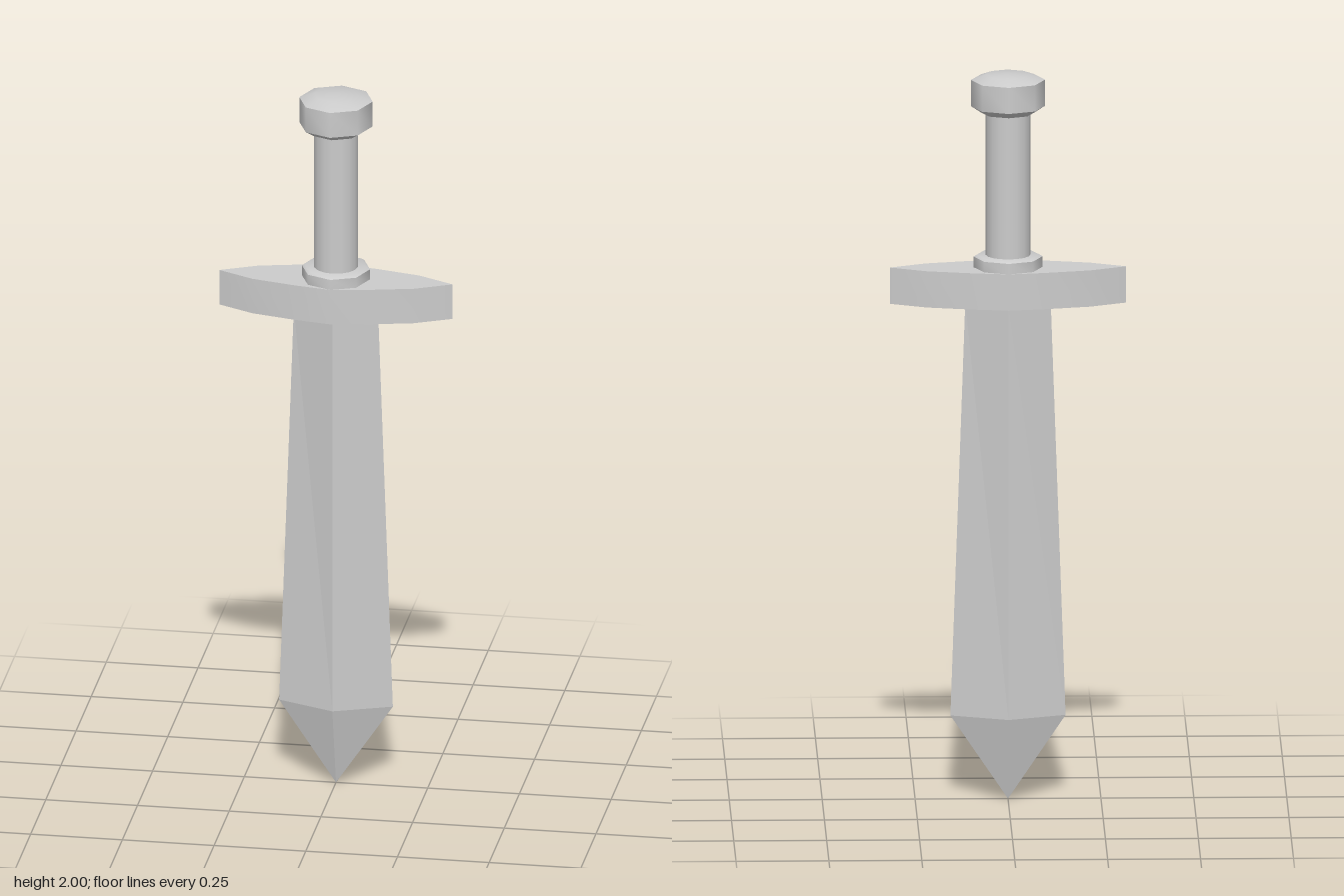
import * as THREE from 'three';
import { toCreasedNormals } from 'three/addons/utils/BufferGeometryUtils.js';

const smooth = new THREE.MeshStandardMaterial({ color: 0xcccccc });
const faceted = new THREE.MeshStandardMaterial({ color: 0xcccccc, flatShading: true });

// Turned part from [radius, height] pairs, listed bottom to top
function turned(points, sides) {
  return new THREE.LatheGeometry(points.map(([r, y]) => new THREE.Vector2(r, y)), sides);
}

export function createModel() {
  const sword = new THREE.Group();
  sword.name = 'sword';
  const add = (name, geometry, material = smooth) => {
    const mesh = new THREE.Mesh(geometry, material);
    mesh.name = name;
    sword.add(mesh);
  };

  // Blade: diamond section, widening towards the point, with constant thickness
  const blade = turned([[0, 0], [0.155, 0.23], [0.115, 1.37], [0, 1.37]], 4);
  const pos = blade.attributes.position;
  for (let i = 0; i < pos.count; i++) {
    const z = pos.getZ(i);
    if (Math.abs(z) > 0.01) pos.setZ(i, Math.sign(z) * 0.06);
  }
  add('blade', blade, faceted);

  // Crossguard: pointed lens outline, mirrored into all four quarters
  const quarter = [[0.318, 0], [0.22, 0.048], [0.1, 0.076], [0, 0.093]];
  const half = [...quarter, ...quarter.slice(0, 3).reverse().map(([x, z]) => [-x, z])];
  const outline = [...half, ...half.slice(1, -1).reverse().map(([x, z]) => [x, -z])];
  const guard = new THREE.ExtrudeGeometry(
    new THREE.Shape(outline.map(([x, z]) => new THREE.Vector2(x, z))),
    { depth: 0.1, bevelEnabled: false }
  );
  guard.rotateX(-Math.PI / 2).translate(0, 1.366, 0);
  add('crossguard', toCreasedNormals(guard, 0.9));

  // Collar, grip and pommel
  add('collar', toCreasedNormals(
    turned([[0.093, 1.46], [0.093, 1.495], [0.085, 1.5], [0, 1.5]], 8), 0.9));
  add('grip', new THREE.CylinderGeometry(0.06, 0.06, 0.44, 16, 1, true).translate(0, 1.68, 0));
  add('pommel', toCreasedNormals(
    turned([[0, 1.892], [0.072, 1.892], [0.1, 1.91], [0.1, 1.982], [0.06, 1.997], [0, 2]], 8), 0.9));

  return sword;
}
